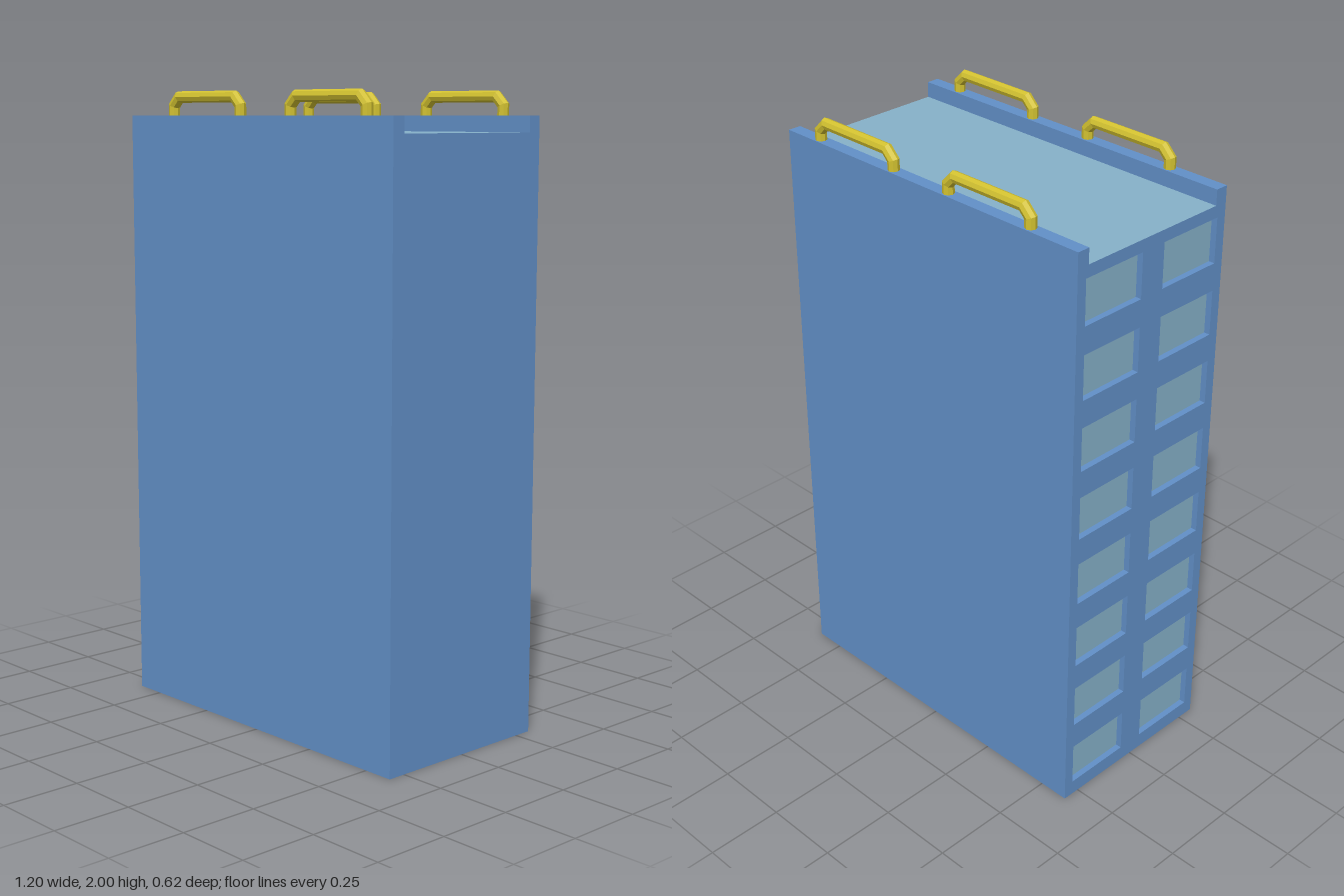
import * as THREE from 'three';

const W = 1.2, D = 0.618, H = 1.925, ROOF = 1.875, INNER = 0.266;
const RIM = D / 2 - INNER;

const blue = new THREE.MeshStandardMaterial({ color: 0x6290c8, side: THREE.DoubleSide, flatShading: true });
blue.name = 'blueWall';
const glass = new THREE.MeshStandardMaterial({ color: 0x86b1c9, side: THREE.DoubleSide, flatShading: true });
glass.name = 'paleBluePane';
const yellow = new THREE.MeshStandardMaterial({ color: 0xd2c130, flatShading: true });
yellow.name = 'yellowHandle';

function add(parent, name, geometry, material, x = 0, y = 0, z = 0) {
  const mesh = new THREE.Mesh(geometry, material);
  mesh.name = name;
  mesh.position.set(x, y, z);
  parent.add(mesh);
  return mesh;
}

// End wall outline with the roof notch between the two parapets
function endShape() {
  const d = D / 2;
  return new THREE.Shape([
    [-d, 0], [d, 0], [d, H], [INNER, H], [INNER, ROOF],
    [-INNER, ROOF], [-INNER, H], [-d, H],
  ].map(([x, y]) => new THREE.Vector2(x, y)));
}

// Octagonal bar swept with mitred corners along a planar path
function handleGeometry() {
  const path = [[-0.162, H], [-0.162, 1.955], [-0.135, 1.982], [0.135, 1.982], [0.162, 1.955], [0.162, H]]
    .map(([x, y]) => new THREE.Vector2(x, y));
  const sides = 8, r = 0.018, pos = [], index = [];
  const normalOf = (a, b) => {
    const t = b.clone().sub(a).normalize();
    return new THREE.Vector2(-t.y, t.x);
  };
  path.forEach((p, i) => {
    const n0 = normalOf(path[Math.max(i - 1, 0)], path[Math.max(i, 1)]);
    const last = path.length - 1;
    const n1 = normalOf(path[Math.min(i, last - 1)], path[Math.min(i + 1, last)]);
    const n = n0.clone().add(n1).normalize();
    n.divideScalar(n.dot(n0));
    for (let j = 0; j < sides; j++) {
      const a = (j / sides) * Math.PI * 2;
      pos.push(p.x + n.x * r * Math.cos(a), p.y + n.y * r * Math.cos(a), r * Math.sin(a));
      if (i < last) {
        const k = (j + 1) % sides, s = i * sides;
        index.push(s + j, s + k, s + sides + k, s + j, s + sides + k, s + sides + j);
      }
    }
  });
  const g = new THREE.BufferGeometry();
  g.setAttribute('position', new THREE.Float32BufferAttribute(pos, 3));
  g.setIndex(index);
  const flat = g.toNonIndexed();
  flat.computeVertexNormals();
  return flat;
}

export function createModel() {
  const model = new THREE.Group();
  model.name = 'building';

  // Long walls and parapets, mirrored front to back; the shell is open below
  for (const s of [1, -1]) {
    const side = s > 0 ? 'front' : 'back';
    add(model, side + 'Wall', new THREE.PlaneGeometry(W, H).rotateY(s > 0 ? 0 : Math.PI), blue, 0, H / 2, s * D / 2);
    add(model, side + 'ParapetTop', new THREE.PlaneGeometry(W, RIM).rotateX(-Math.PI / 2), blue,
      0, H, s * (INNER + RIM / 2));
    add(model, side + 'ParapetInside', new THREE.PlaneGeometry(W, H - ROOF).rotateY(s > 0 ? Math.PI : 0), blue,
      0, (H + ROOF) / 2, s * INNER);
  }
  add(model, 'roof', new THREE.PlaneGeometry(W, INNER * 2).rotateX(-Math.PI / 2), glass, 0, ROOF, 0);
  add(model, 'plainEndWall', new THREE.ShapeGeometry(endShape()).rotateY(Math.PI / 2), blue, W / 2);

  // Window wall: two columns of eight recessed windows
  const wall = endShape();
  const winW = 0.23, winH = 0.145, depth = 0.02;
  const pane = new THREE.PlaneGeometry(winW, winH).rotateY(-Math.PI / 2);
  const reveal = new THREE.CylinderGeometry(Math.SQRT1_2, Math.SQRT1_2, 1, 4, 1, true)
    .rotateY(Math.PI / 4).rotateZ(Math.PI / 2).scale(depth, winH, winW).toNonIndexed();
  reveal.computeVertexNormals();
  const windows = new THREE.Group();
  windows.name = 'windows';
  for (let row = 0; row < 8; row++) {
    for (const z of [-0.16, 0.16]) {
      const y = 0.05 + winH / 2 + row * 0.2344;
      const a = z - winW / 2, b = z + winW / 2, lo = y - winH / 2, hi = y + winH / 2;
      wall.holes.push(new THREE.Path([[a, lo], [a, hi], [b, hi], [b, lo]].map(([u, v]) => new THREE.Vector2(u, v))));
      add(windows, 'windowPane', pane, glass, -W / 2 + depth, y, z);
      add(windows, 'windowReveal', reveal, blue, -W / 2 + depth / 2, y, z);
    }
  }
  model.add(windows);
  add(model, 'windowWall', new THREE.ShapeGeometry(wall).rotateY(-Math.PI / 2), blue, -W / 2);

  // Handles on both parapets
  const handle = handleGeometry();
  for (const z of [-0.288, 0.288]) {
    for (const x of [-0.243, 0.311]) add(model, 'handle', handle, yellow, x, 0, z);
  }
  return model;
}
